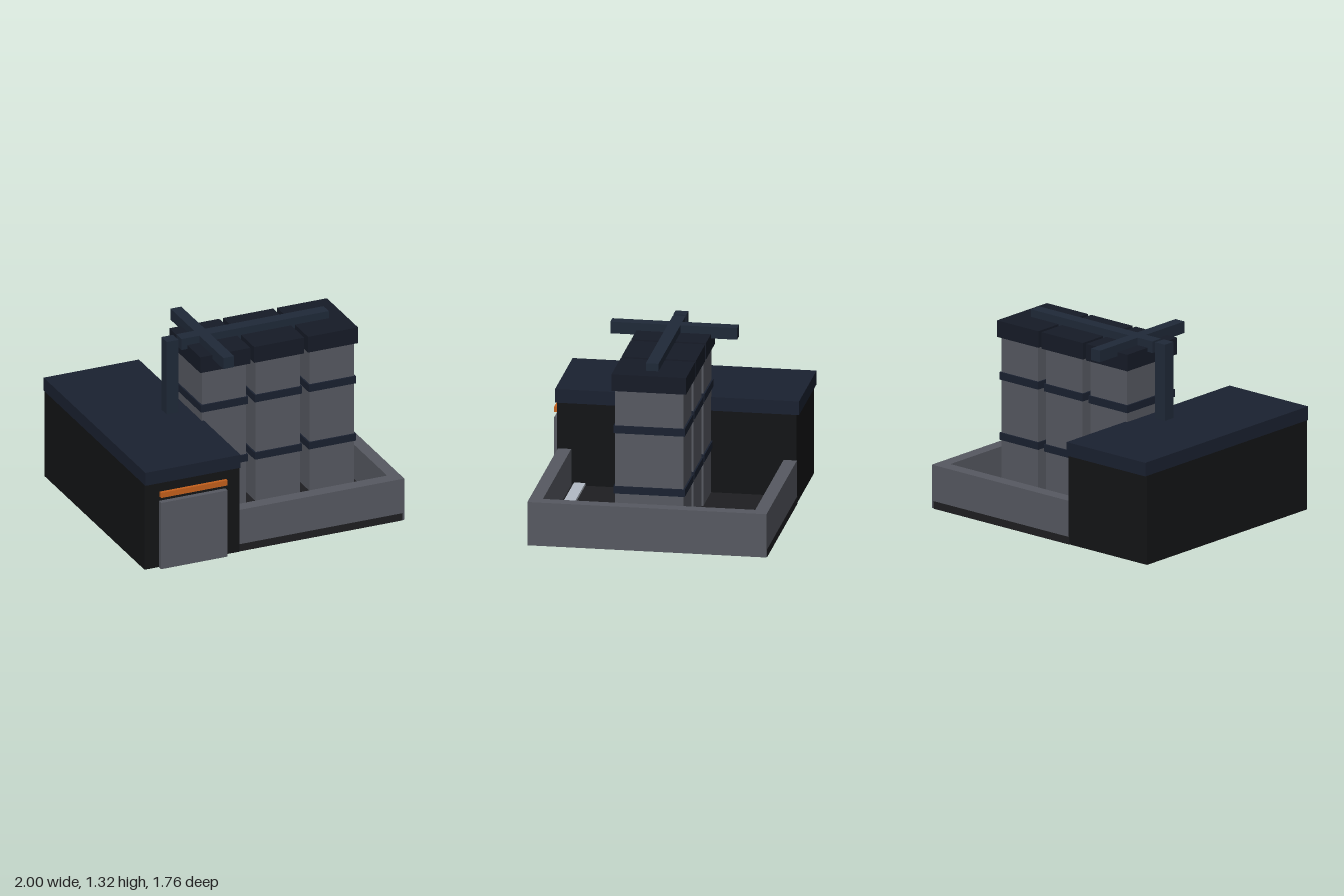
import * as THREE from 'three';

const material = (color) => new THREE.MeshStandardMaterial({ color, flatShading: true });

export function createModel() {
  const group = new THREE.Group();
  const concrete = material(0x565961);
  const black = material(0x131416);
  const floorDark = material(0x1e1e21);
  const navy = material(0x1a2130);
  const capNavy = material(0x161b27);
  const steel = material(0x1f2938);
  const orange = material(0xc4601c);
  const pale = material(0xb2bac5);

  // Box given by its low and high limits on each axis
  function box(name, mat, [x0, x1], [y0, y1], [z0, z1], parent = group) {
    const mesh = new THREE.Mesh(new THREE.BoxGeometry(x1 - x0, y1 - y0, z1 - z0), mat);
    mesh.position.set((x0 + x1) / 2, (y0 + y1) / 2, (z0 + z1) / 2);
    mesh.name = name;
    parent.add(mesh);
    return mesh;
  }

  // Side building with roof, door and lamp strip
  box('building', black, [-1, -0.27], [0, 0.655], [-0.862, 0.84]);
  box('buildingRoof', navy, [-1, -0.268], [0.655, 0.755], [-0.88, 0.855]);
  box('door', concrete, [-0.89, -0.38], [0, 0.512], [0.84, 0.88]);
  box('lampStrip', orange, [-0.89, -0.38], [0.55, 0.59], [0.855, 0.88]);

  // Yard: floor slab, low walls and pale walkway strip
  box('floorSlab', floorDark, [-0.28, 0.985], [0, 0.055], [-0.867, 0.837]);
  box('frontWall', concrete, [-0.27, 1], [0.002, 0.32], [0.74, 0.835]);
  box('backWall', concrete, [-0.27, 1], [0.002, 0.32], [-0.865, -0.77]);
  box('sideWall', concrete, [0.91, 1], [0.002, 0.32], [-0.77, 0.74]);
  box('walkwayStrip', pale, [-0.27, 0.91], [0.055, 0.075], [0.64, 0.72]);

  // Three banded towers with caps
  for (const x of [-0.114, 0.3, 0.714]) {
    const tower = new THREE.Group();
    tower.name = 'tower';
    tower.position.set(x, 0, -0.012);
    group.add(tower);
    const layer = (name, mat, w, d, y0, y1) =>
      box(name, mat, [-w / 2, w / 2], [y0, y1], [-d / 2, d / 2], tower);
    layer('towerShaft', concrete, 0.34, 0.485, 0.055, 1.14);
    layer('lowerBand', navy, 0.362, 0.508, 0.382, 0.435);
    layer('upperBand', navy, 0.362, 0.508, 0.825, 0.88);
    layer('towerCap', capNavy, 0.384, 0.53, 1.138, 1.26);
  }

  // Post and crossed beams over the towers
  box('post', steel, [-0.465, -0.375], [0.75, 1.315], [-0.06, 0.032]);
  box('longBeam', steel, [-0.35, 0.782], [1.23, 1.315], [-0.06, 0.03]);
  box('crossBeam', steel, [-0.213, -0.13], [1.23, 1.315], [-0.463, 0.438]);

  return group;
}
